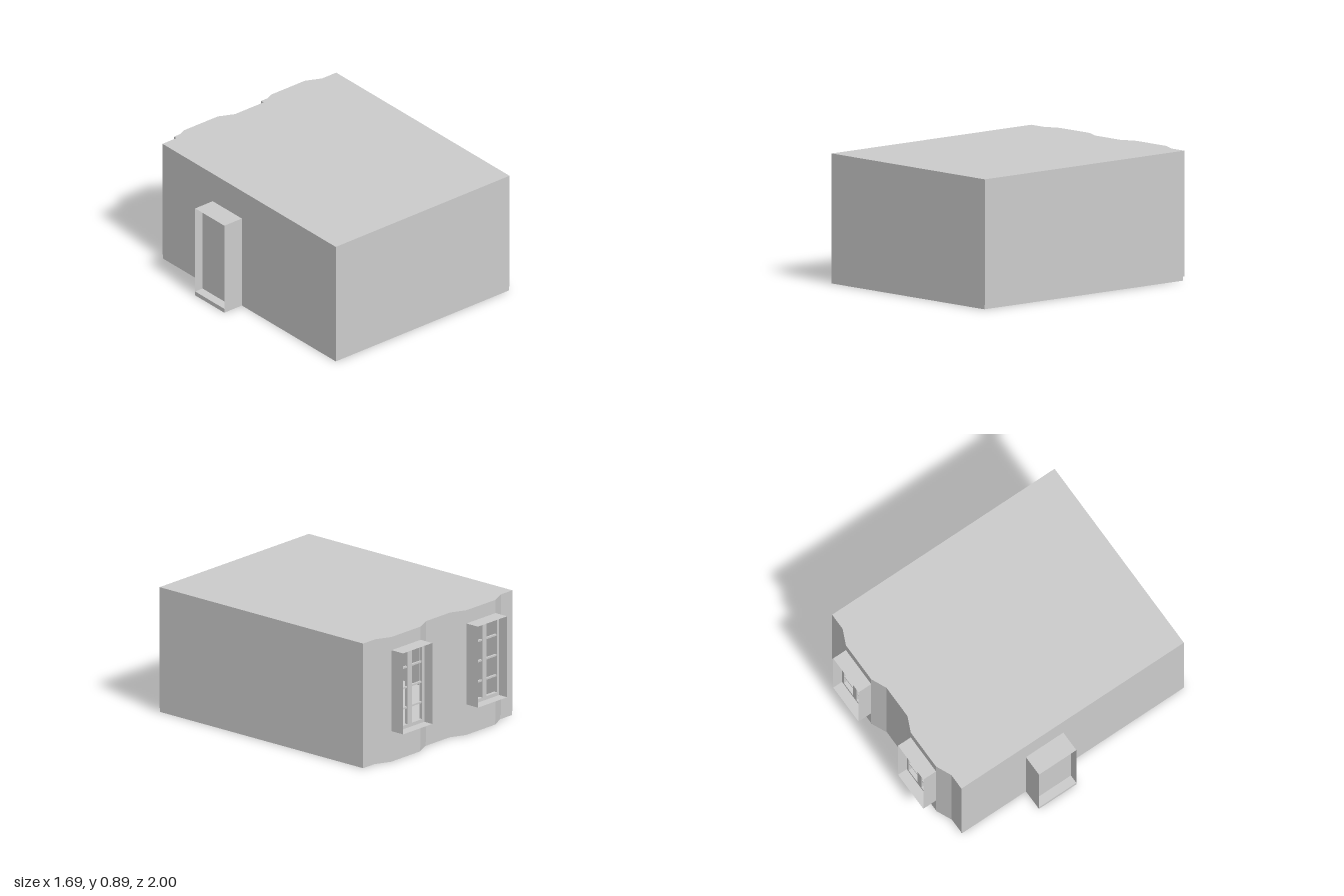
import * as THREE from 'three';

const WALL = new THREE.MeshStandardMaterial({ color: 0xcccccc, flatShading: true, side: THREE.DoubleSide });
const SOLID = new THREE.MeshStandardMaterial({ color: 0xcccccc, flatShading: true });

const HEIGHT = 0.895, FLOOR = 0.03;
const LEFT = 0.845, RIGHT = -0.69, FRONT = 1, BACK = -0.845, BAY = -0.895;
const WINDOW = { y0: 0.22, y1: 0.8, half: 0.15, z: -1, centers: [-0.31, 0.46] };
const DOOR = { z0: -0.31, z1: 0, top: 0.68, x: -0.845 };

// Flat four-cornered surface, corners counter-clockwise
function quad(a, b, c, d) {
  const g = new THREE.BufferGeometry();
  g.setAttribute('position', new THREE.Float32BufferAttribute([...a, ...b, ...c, ...d], 3));
  g.setIndex([0, 1, 2, 0, 2, 3]);
  g.computeVertexNormals();
  return g;
}

function add(parent, name, geometry, material = WALL) {
  const m = new THREE.Mesh(geometry, material);
  m.name = name;
  parent.add(m);
  return m;
}

// Upright wall panel between two plan points [x, z]
function panel(parent, name, p, q, y0, y1) {
  return add(parent, name, quad([p[0], y0, p[1]], [q[0], y0, q[1]], [q[0], y1, q[1]], [p[0], y1, p[1]]));
}

function bar(parent, name, w, h, d, x, y, z) {
  add(parent, name, new THREE.BoxGeometry(w, h, d), SOLID).position.set(x, y, z);
}

// Plan of the back wall, from right to left, with two shallow bays
function backPlan() {
  const pts = [[RIGHT, BACK]];
  for (const c of WINDOW.centers) {
    pts.push([c - 0.26, BACK], [c - 0.15, BAY], [c + 0.15, BAY], [c + 0.26, BACK]);
  }
  pts.push([LEFT, BACK]);
  return pts;
}

// Shape on the ground plane from [x, z] points
const planShape = (pts) => new THREE.Shape(pts.map(([x, z]) => new THREE.Vector2(x, -z)));

// Projecting window box with two sashes of four panes each
function makeWindow(cx) {
  const g = new THREE.Group();
  g.name = 'window';
  const { y0, y1, half, z } = WINDOW;
  const corners = [[cx - half, y0], [cx + half, y0], [cx + half, y1], [cx - half, y1]];
  corners.forEach(([ax, ay], i) => {
    const [bx, by] = corners[(i + 1) % 4];
    add(g, 'windowReveal', quad([ax, ay, BAY], [bx, by, BAY], [bx, by, z], [ax, ay, z]));
  });
  const h = y1 - y0, cy = (y0 + y1) / 2, zf = BAY - 0.02;
  for (const side of [-1, 1]) {
    const sx = cx + side * half / 2;
    for (const e of [-1, 1]) {
      bar(g, 'sashStile', 0.022, h, 0.025, sx + e * (half / 2 - 0.011), cy, zf);
      bar(g, 'sashRail', half - 0.044, 0.025, 0.025, sx, cy + e * (h / 2 - 0.0125), zf);
    }
    for (let i = 1; i < 4; i++) bar(g, 'glazingBar', half - 0.044, 0.012, 0.015, sx, y0 + h * i / 4, zf);
  }
  return g;
}

// Door recess standing out from the right wall
function makeDoorway() {
  const g = new THREE.Group();
  g.name = 'doorway';
  const { z0, z1, top, x } = DOOR;
  for (const z of [z0, z1]) panel(g, 'doorwayCheek', [x, z], [RIGHT, z], 0, top);
  add(g, 'doorwayTop', quad([x, top, z1], [RIGHT, top, z1], [RIGHT, top, z0], [x, top, z0]));
  bar(g, 'threshold', RIGHT - x, FLOOR, z1 - z0, (x + RIGHT) / 2, FLOOR / 2, (z0 + z1) / 2);
  // Door leaf faces outward only
  const dx = -0.78;
  add(g, 'doorLeaf', quad([dx, FLOOR, z0], [dx, FLOOR, z1], [dx, top, z1], [dx, top, z0]), SOLID);
  return g;
}

export function createModel() {
  const model = new THREE.Group();
  model.name = 'room';
  const back = backPlan();

  // Floor slab, slightly set in under the left and back walls
  const floorPts = back.map(([x, z]) => [Math.min(x, LEFT - 0.005), z + 0.005]);
  floorPts.push([LEFT - 0.005, FRONT], [RIGHT, FRONT]);
  const floor = new THREE.ExtrudeGeometry(planShape(floorPts), { depth: FLOOR, bevelEnabled: false });
  add(model, 'floor', floor.rotateX(-Math.PI / 2), SOLID);

  // Ceiling
  const roof = new THREE.ShapeGeometry(planShape([...back, [LEFT, FRONT], [RIGHT, FRONT]]));
  add(model, 'ceiling', roof.rotateX(-Math.PI / 2)).position.y = HEIGHT;

  // Front and left walls
  panel(model, 'frontWall', [RIGHT, FRONT], [LEFT, FRONT], FLOOR, HEIGHT);
  panel(model, 'leftWall', [LEFT, FRONT], [LEFT, BACK], FLOOR, HEIGHT);

  // Right wall around the doorway
  panel(model, 'rightWall', [RIGHT, BACK], [RIGHT, DOOR.z0], FLOOR, HEIGHT);
  panel(model, 'rightWall', [RIGHT, DOOR.z1], [RIGHT, FRONT], FLOOR, HEIGHT);
  panel(model, 'rightWallAboveDoor', [RIGHT, DOOR.z0], [RIGHT, DOOR.z1], DOOR.top, HEIGHT);

  // Back wall, open at the windows in the bays
  for (let i = 0; i < back.length - 1; i++) {
    const p = back[i], q = back[i + 1];
    if (p[1] === BAY && q[1] === BAY) {
      panel(model, 'wallBelowWindow', q, p, FLOOR, WINDOW.y0);
      panel(model, 'wallAboveWindow', q, p, WINDOW.y1, HEIGHT);
    } else panel(model, 'backWall', q, p, FLOOR, HEIGHT);
  }

  for (const c of WINDOW.centers) model.add(makeWindow(c));
  model.add(makeDoorway());
  return model;
}
